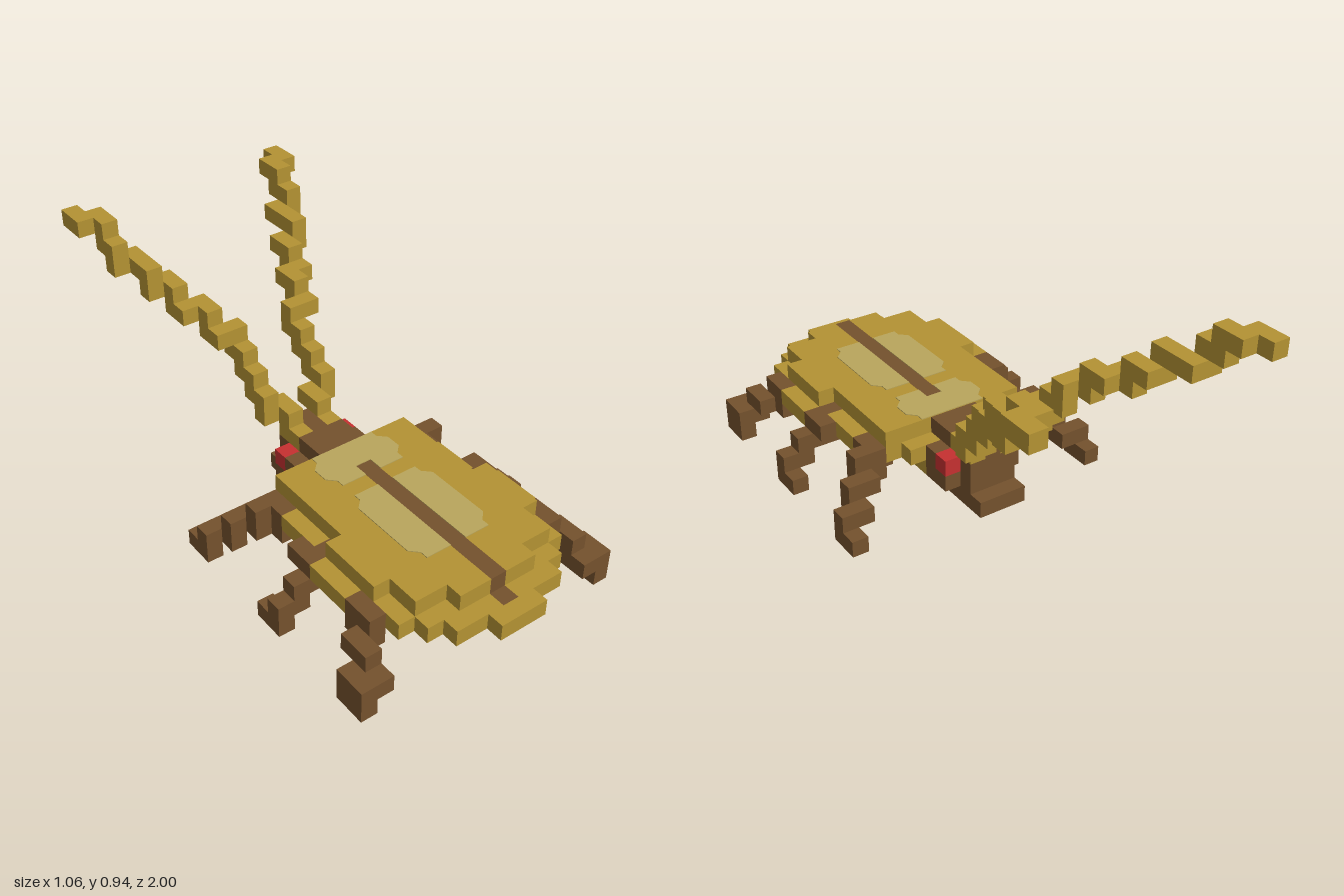
import * as THREE from 'three';
import { mergeGeometries } from 'three/addons/utils/BufferGeometryUtils.js';

const U = 1 / 16; // one cube of the grid

const mat = (name, color, side = THREE.FrontSide) => {
  const m = new THREE.MeshStandardMaterial({ color, side });
  m.name = name;
  return m;
};

export function createModel() {
  const gold = mat('gold', 0xb39233);
  const brown = mat('brown', 0x74512d);
  const red = mat('red', 0xc53030);
  const pale = mat('paleGold', 0xb9a55c);

  const cells = new Map(); // "x,y,z" -> part; later parts replace earlier ones
  const parts = [];
  const part = (name, material) => {
    const p = { name, material };
    parts.push(p);
    return p;
  };
  const put = (p, x, y, z) => cells.set([x, y, z].join(), p);
  const fill = (p, x0, x1, y0, y1, z0, z1) => {
    for (let x = x0; x <= x1; x++)
      for (let y = y0; y <= y1; y++)
        for (let z = z0; z <= z1; z++) put(p, x, y, z);
  };
  // rows of [first z, last z, half width]
  const layer = (p, y, rows) => rows.forEach(([a, b, w]) => fill(p, -w, w, y, y, a, b));

  // Oval body in three layers
  const belly = part('belly', gold);
  layer(belly, 2, [[16, 18, 2], [19, 22, 3], [23, 26, 4], [27, 27, 3], [28, 28, 2]]);
  const shell = part('shell', gold);
  layer(shell, 3, [[16, 16, 3], [17, 18, 4], [19, 22, 5], [23, 25, 6], [26, 28, 5],
    [29, 29, 4], [30, 30, 3], [31, 31, 1]]);
  layer(shell, 4, [[17, 22, 4], [23, 26, 5], [27, 28, 4], [29, 29, 2]]);

  // Stripe along the back
  const stripe = part('backStripe', brown);
  fill(stripe, 0, 0, 4, 4, 19, 29);
  put(stripe, 0, 3, 30);

  // Head, jaw, brow and eyes
  const head = part('head', brown);
  fill(head, -1, 1, 2, 4, 13, 15);
  fill(head, -2, 2, 2, 3, 14, 15);
  fill(head, -1, 1, 4, 4, 16, 16);
  const jaw = part('jaw', brown);
  fill(jaw, -1, 1, 1, 1, 12, 16);
  const brow = part('brow', gold);
  const eyes = part('eyes', red);

  // Cell paths for the limbs, on the +x side
  const legs = {
    frontLeg: [[4, 2, 18], [5, 2, 18], [5, 2, 17], [5, 3, 18], [5, 3, 17], [6, 3, 17], [6, 2, 17],
      [6, 2, 16], [7, 2, 16], [7, 1, 16], [7, 1, 15], [8, 1, 15], [8, 0, 15], [8, 0, 14]],
    middleLeg: [[4, 2, 22], [5, 2, 22], [5, 3, 22], [6, 3, 22], [6, 3, 21], [6, 2, 22],
      [7, 2, 22], [7, 1, 22], [8, 1, 22], [8, 0, 22], [8, 0, 21]],
    hindLeg: [[4, 2, 26], [5, 2, 26], [6, 2, 26], [6, 3, 26], [6, 3, 27], [6, 2, 27], [7, 2, 27],
      [7, 2, 28], [7, 1, 28], [7, 1, 29], [8, 1, 28], [8, 0, 28], [8, 0, 29], [8, 1, 29]],
  };
  const antenna = [[1, 5, 13], [1, 5, 12], [2, 5, 12], [2, 6, 12], [2, 6, 11], [2, 7, 11],
    [2, 7, 10], [2, 8, 10], [2, 8, 9], [2, 9, 9], [3, 9, 9], [3, 9, 8], [3, 10, 8], [3, 10, 7],
    [4, 10, 7], [4, 10, 6], [4, 11, 6], [4, 11, 5], [5, 11, 5], [5, 12, 5], [5, 12, 4],
    [5, 12, 3], [6, 12, 3], [6, 13, 3], [6, 13, 2], [6, 14, 2], [6, 14, 1], [7, 14, 1], [7, 14, 0]];

  for (const [s, label] of [[1, 'left'], [-1, 'right']]) {
    fill(brow, s, s, 4, 4, 13, 14);
    put(eyes, 2 * s, 3, 14);
    for (const [name, path] of Object.entries({ ...legs, antenna })) {
      const p = part(label + name[0].toUpperCase() + name.slice(1), name === 'antenna' ? gold : brown);
      path.forEach(([x, y, z]) => put(p, x * s, y, z));
    }
  }

  // Cube faces, kept only where no neighbour covers them
  const face = (rx, ry) => new THREE.PlaneGeometry(U, U).translate(0, 0, U / 2).rotateX(rx).rotateY(ry);
  const H = Math.PI / 2;
  const faces = [
    [1, 0, 0, face(0, H)], [-1, 0, 0, face(0, -H)],
    [0, 1, 0, face(-H, 0)], [0, -1, 0, face(H, 0)],
    [0, 0, 1, face(0, 0)], [0, 0, -1, face(0, 2 * H)],
  ];
  const group = new THREE.Group();
  group.name = 'beetle';
  for (const p of parts) {
    const quads = [];
    for (const [key, owner] of cells) {
      if (owner !== p) continue;
      const [x, y, z] = key.split(',').map(Number);
      for (const [dx, dy, dz, quad] of faces) {
        if (cells.has([x + dx, y + dy, z + dz].join())) continue;
        quads.push(quad.clone().translate(x * U, (y + 0.5) * U, (z + 0.5) * U - 1));
      }
    }
    const mesh = new THREE.Mesh(mergeGeometries(quads), p.material);
    mesh.name = p.name;
    group.add(mesh);
  }

  // Pale patches: thin plates with stepped corners, split around the stripe
  const plate = (name, x0, x1, z0, z1, cuts) => {
    const c = 0.03;
    const pts = [[x0, z0], [x1 - cuts * c, z0], [x1 - cuts * c, z0 + c], [x1, z0 + 2 * c],
      [x1, z1 - 2 * c], [x1 - cuts * c, z1 - c], [x1 - cuts * c, z1], [x0, z1]];
    for (const s of [1, -1]) {
      const shape = new THREE.Shape(pts.map(([x, z]) => new THREE.Vector2(x * s, -z)));
      const geo = new THREE.ExtrudeGeometry(shape, { depth: 0.003, bevelEnabled: false });
      const mesh = new THREE.Mesh(geo.rotateX(-H), pale);
      mesh.name = name;
      mesh.position.y = 5 * U;
      group.add(mesh);
    }
  };
  plate('frontPatchCentre', 0, U / 2, 0.065, 3 * U, 0);
  plate('frontPatch', U / 2, 0.16, 0.065, 0.245, 1);
  plate('rearPatch', U / 2, 0.16, 0.31, 0.685, 1);
  return group;
}
